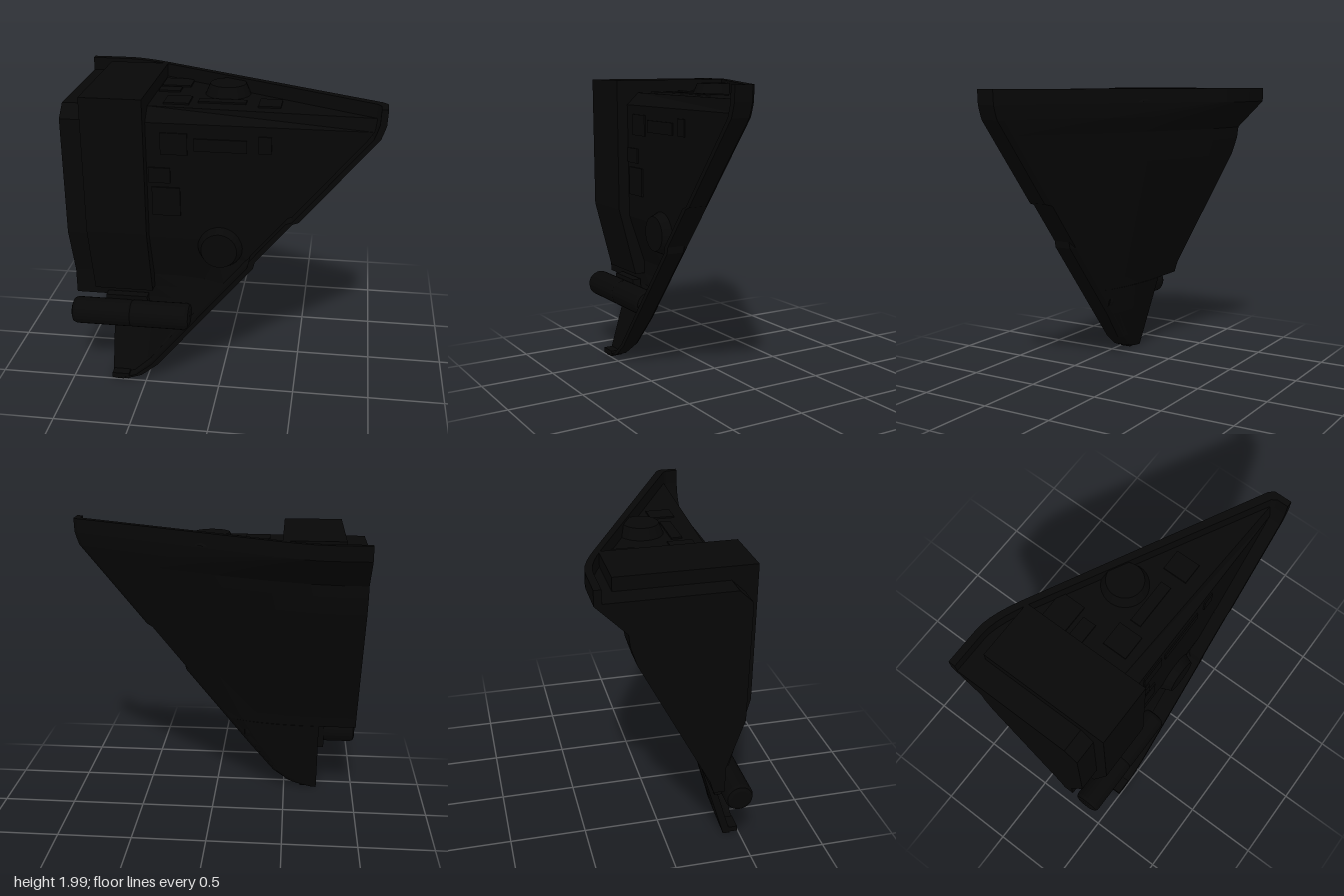
import * as THREE from 'three';

const black = new THREE.MeshStandardMaterial({ color: 0x070707, flatShading: true });
black.name = 'black';

const { lerp, clamp } = THREE.MathUtils;

// piecewise linear lookup in [[key, value], ...]
function lerpTable(table, y) {
  for (let i = 1; i < table.length; i++) {
    const [y0, v0] = table[i - 1], [y1, v1] = table[i];
    if (y <= y1) return lerp(v0, v1, clamp((y - y0) / (y1 - y0), 0, 1));
  }
  return table[table.length - 1][1];
}

// back depth of the spine, right-hand edge of the hull, notch in that edge, and front of the core at each height
const backZ = [[0, 0.395], [0.63, 0.205], [1.5, -0.25], [1.62, -0.29], [1.7, -0.3], [1.89, -0.49], [2, -0.49]];
const edgeX = [[0, -0.66], [0.015, -0.6], [0.04, -0.53], [0.13, -0.42], [1.8, 0.965], [1.88, 0.995], [2, 1]];
const notch = [[0.905, 0], [0.95, 0.027], [1.225, 0.027], [1.24, 0]];
const frontZ = [[0.3, 0.28], [0.55, 0.3], [0.72, 0.3], [1.05, 0.41], [1.82, 0.415], [1.9, 0.33]];

// outer line of the hull at one height: flat spine, bowed plate, then the corner of the side rim
function section(y, left) {
  const flare = clamp((y - 1.7) / 0.19, 0, 1);
  const zb = lerpTable(backZ, y), xr = lerpTable(edgeX, y);
  const px = xr - 0.03, pz = Math.max(0.345, zb + 0.01);
  const start = Math.max(left + 0.01, lerp(-0.85, -0.76, flare));
  const fold = Math.max(start + 0.005, px - (pz - zb) / 0.516);
  const reach = lerp(1, 0.12, flare);
  const bow = new THREE.QuadraticBezierCurve(new THREE.Vector2(start, zb), new THREE.Vector2(fold, zb),
    new THREE.Vector2(lerp(fold, px - 0.004, reach), lerp(zb, pz - 0.002, reach)));
  return { xr, px, pz, line: [[left, zb], ...bow.getPoints(5).map((p) => [p.x, p.y]), [px, pz]] };
}

// skin between horizontal loops, rows from bottom to top; each loop runs out along a strip and back
function loft(rows) {
  const pos = [], n = rows[0].length;
  const quad = (a, b, c, d) => pos.push(...a, ...b, ...c, ...a, ...c, ...d);
  for (let r = 0; r + 1 < rows.length; r++) {
    for (let i = 0; i < n; i++) {
      const j = (i + 1) % n;
      quad(rows[r][i], rows[r + 1][i], rows[r + 1][j], rows[r][j]);
    }
  }
  const top = rows[rows.length - 1], bottom = rows[0];
  for (let i = 0; i < n / 2 - 1; i++) {
    const k = [i, i + 1, n - 2 - i, n - 1 - i];
    quad(...k.map((v) => bottom[v]));
    quad(...k.reverse().map((v) => top[v]));
  }
  const g = new THREE.BufferGeometry();
  g.setAttribute('position', new THREE.Float32BufferAttribute(pos, 3));
  g.computeVertexNormals();
  return g;
}

// thin hull shell with a deep rim along the right-hand edge
function shellRow([y, left]) {
  const { xr, px, pz, line } = section(y, left);
  const rim = xr - lerpTable(notch, y);
  const inX = (x) => Math.max(left + 0.005, x);
  const inner = line.map(([x, z]) => [inX(Math.min(x, px - 0.03)), z + 0.045]).reverse();
  inner[inner.length - 1][0] = left;
  return [...line, [rim, pz + 0.03], [rim, 0.495], [inX(rim - 0.04), 0.495], [inX(rim - 0.04), pz + 0.075], ...inner]
    .map(([x, z]) => [x, y, z]);
}

// solid core lying in the shell
function coreRow([y, left]) {
  const { px, line } = section(y, left);
  const zf = lerpTable(frontZ, y);
  const back = line.map(([x, z]) => [Math.min(x, px - 0.015), z + 0.02]);
  const front = back.map(([x, z]) => [x, Math.max(zf, z + 0.03)]).reverse();
  return [...back, ...front].map(([x, z]) => [x, y, z]);
}

export function createModel() {
  const model = new THREE.Group();
  const add = (name, geometry, x = 0, y = 0, z = 0) => {
    const mesh = new THREE.Mesh(geometry, black);
    mesh.name = name;
    mesh.position.set(x, y, z);
    model.add(mesh);
    return mesh;
  };
  const box = (name, x0, x1, y0, y1, z0, z1) =>
    add(name, new THREE.BoxGeometry(x1 - x0, y1 - y0, z1 - z0), (x0 + x1) / 2, (y0 + y1) / 2, (z0 + z1) / 2);

  // hull: narrow at the foot, full width above it
  const foot = [0, 0.015, 0.04, 0.13, 0.35, 0.55].map((y) => [y, -0.74]);
  const upper = [0.55, 0.63, 0.905, 0.95, 1.225, 1.24, 1.5, 1.62, 1.7, 1.76, 1.8, 1.84, 1.89, 1.985].map((y) => [y, -1]);
  add('hullShell', loft([...foot, ...upper].map(shellRow)));
  const coreFoot = [0.04, 0.13, 0.35, 0.55].map((y) => [y, -0.74]);
  const coreUpper = [0.55, 0.63, 0.72, 0.905, 1.05, 1.24, 1.5, 1.62, 1.7, 1.76, 1.82, 1.9].map((y) => [y, -1]);
  add('core', loft([...coreFoot, ...coreUpper].map(coreRow)));
  box('footLip', -0.735, -0.62, 0.003, 0.04, 0.41, 0.494);

  // tall block with a slanted underside
  const profile = new THREE.Shape([[-0.36, 1.985], [0.49, 1.985], [0.49, 1.1], [0.37, 0.63], [0.3, 0.63],
    [-0.05, 1.75], [-0.36, 1.9]].map(([z, y]) => new THREE.Vector2(-z, y)));
  const block = new THREE.ExtrudeGeometry(profile, { depth: 0.39, bevelEnabled: false });
  block.rotateY(Math.PI / 2);
  add('tallBlock', block, -0.85);

  // crosswise roller with rounded ends and a seam
  const rollerProfile = [[0, -0.4], [0.06, -0.4], [0.081, -0.391], [0.09, -0.37], [0.09, -0.01], [0.085, 0],
    [0.09, 0.01], [0.09, 0.37], [0.081, 0.391], [0.06, 0.4], [0, 0.4]].map(([r, h]) => new THREE.Vector2(r, h));
  add('roller', new THREE.LatheGeometry(rollerProfile, 24), -0.6, 0.47, 0.407).rotation.z = -Math.PI / 2;
  box('rollerBracket', -0.78, -0.5, 0.36, 0.58, 0.31, 0.37);

  // round raised hatches on the front and the deck
  const hatch = new THREE.LatheGeometry([[0.145, 0], [0.115, 0.07], [0.1, 0.07], [0, 0.07]]
    .map(([r, h]) => new THREE.Vector2(r, h)), 32);
  add('deckHatch', hatch, 0, 1.9, 0);
  add('frontHatch', hatch, 0, 1, 0.4).rotation.x = Math.PI / 2;

  // low panels on the front: x0, x1, y0, y1
  for (const [x0, x1, y0, y1] of [[-0.43, -0.25, 1.21, 1.4], [-0.45, -0.31, 1.43, 1.53],
    [-0.16, 0.17, 1.65, 1.73], [0.24, 0.32, 1.65, 1.76], [-0.37, -0.2, 1.62, 1.76]])
    box('frontPanel', x0, x1, y0, y1, 0.4, 0.423);

  // low panels on the deck: x0, x1, z0, z1
  for (const [x0, x1, z0, z1] of [[-0.45, -0.26, -0.27, -0.1], [-0.45, -0.31, -0.07, 0.02],
    [-0.16, 0.14, 0.16, 0.23], [0.22, 0.36, 0.12, 0.28], [-0.37, -0.21, 0.12, 0.28]])
    box('deckPanel', x0, x1, 1.89, 1.91, z0, z1);

  return model;
}
